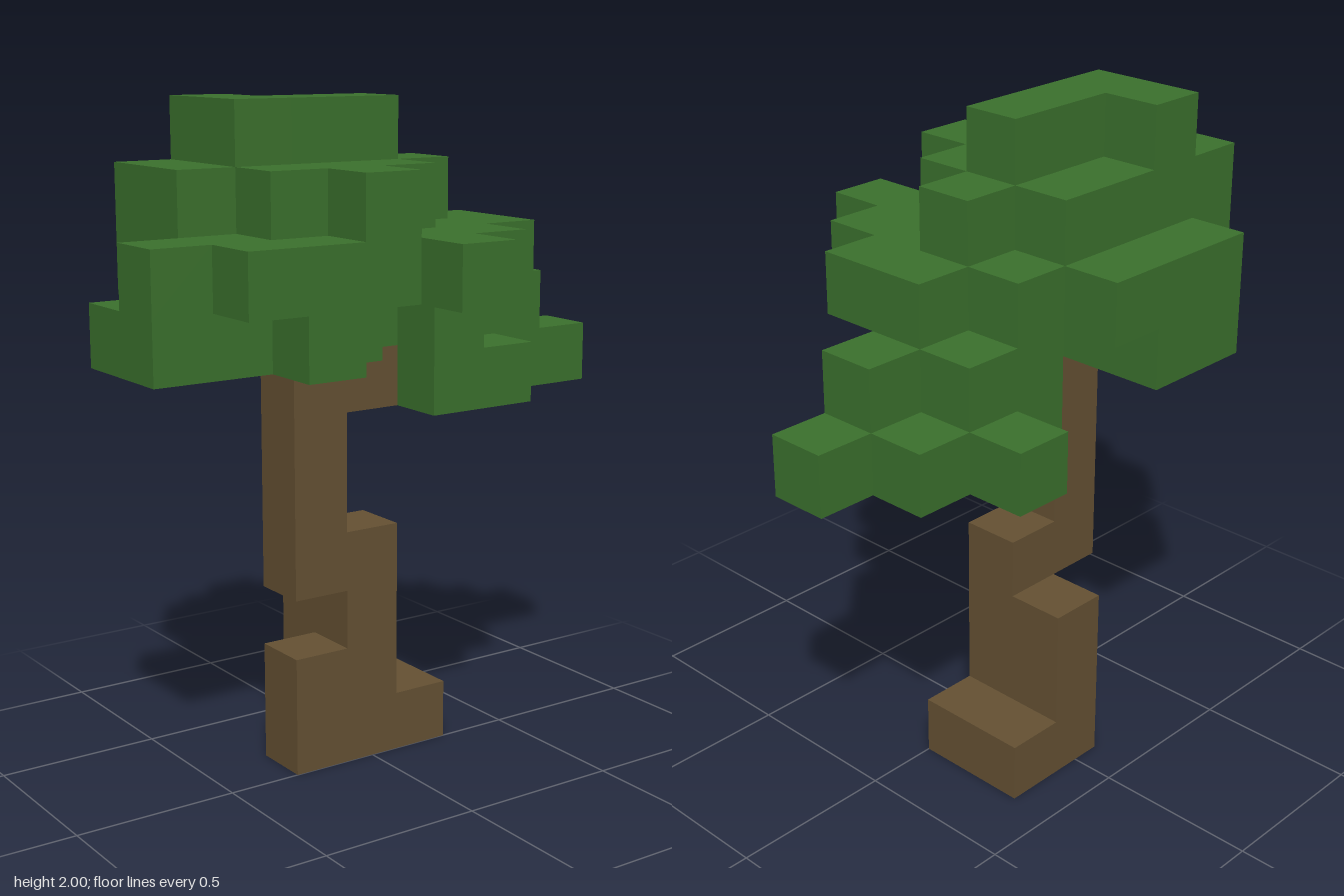
import * as THREE from 'three';
import { mergeGeometries } from 'three/addons/utils/BufferGeometryUtils.js';

const S = 2 / 11; // edge of one cube; the grid is 9 wide (x), 11 high (y), 6 deep (z)

// Layers from the ground up. Each row runs left to right along x, rows go back to front.
// t = trunk, L = leaves
const layers = [
  ['', '....tt', '...ttt'],
  ['', '....t', '...tt'],
  ['', '....t', '....t'],
  ['', '', '...tt'],
  ['', '', '...t'],
  ['', '', '...t'],
  ['......L', '.....LLL', '...tttLLL', '.....LL'],
  ['..LL', '..LL.LL', 'L.LLLLLL', 'LLLL.L', '..L'],
  ['..LLL', '.LLLLL', '.LLLLLL', 'LLLLLLL', '.LLLLL', '....L'],
  ['', '.LLLL', '.LLLLL', '..LLL', '...L'],
  ['', '..L', '..LLL'],
];

const cellAt = (x, y, z) => layers[y]?.[z]?.[x] ?? '.';
const isSolid = (x, y, z) => 'tL'.includes(cellAt(x, y, z));

// Outward directions with the turn that makes a +z plane face that way
const sides = [
  [1, 0, 0, 0, Math.PI / 2],
  [-1, 0, 0, 0, -Math.PI / 2],
  [0, 1, 0, -Math.PI / 2, 0],
  [0, -1, 0, Math.PI / 2, 0],
  [0, 0, 1, 0, 0],
  [0, 0, -1, 0, Math.PI],
];

// Outer skin of all cubes of one kind
function cubeSkin(kind) {
  const faces = [];
  for (let y = 0; y < 11; y++)
    for (let z = 0; z < 6; z++)
      for (let x = 0; x < 9; x++) {
        if (cellAt(x, y, z) !== kind) continue;
        for (const [dx, dy, dz, rx, ry] of sides) {
          if (isSolid(x + dx, y + dy, z + dz)) continue;
          faces.push(
            new THREE.PlaneGeometry(S, S)
              .rotateX(rx)
              .rotateY(ry)
              .translate((x - 4 + dx / 2) * S, (y + 0.5 + dy / 2) * S, (z - 2.5 + dz / 2) * S)
          );
        }
      }
  return mergeGeometries(faces);
}

export function createModel() {
  const bark = new THREE.MeshStandardMaterial({ color: 0x655133 });
  bark.name = 'bark brown';
  const leaf = new THREE.MeshStandardMaterial({ color: 0x3b712d });
  leaf.name = 'leaf green';

  const tree = new THREE.Group();
  tree.name = 'tree';

  // Crooked trunk with its foot and hidden branch
  const trunk = new THREE.Mesh(cubeSkin('t'), bark);
  trunk.name = 'trunk';

  // Stepped leaf crown
  const crown = new THREE.Mesh(cubeSkin('L'), leaf);
  crown.name = 'leafCrown';

  tree.add(trunk, crown);
  return tree;
}
